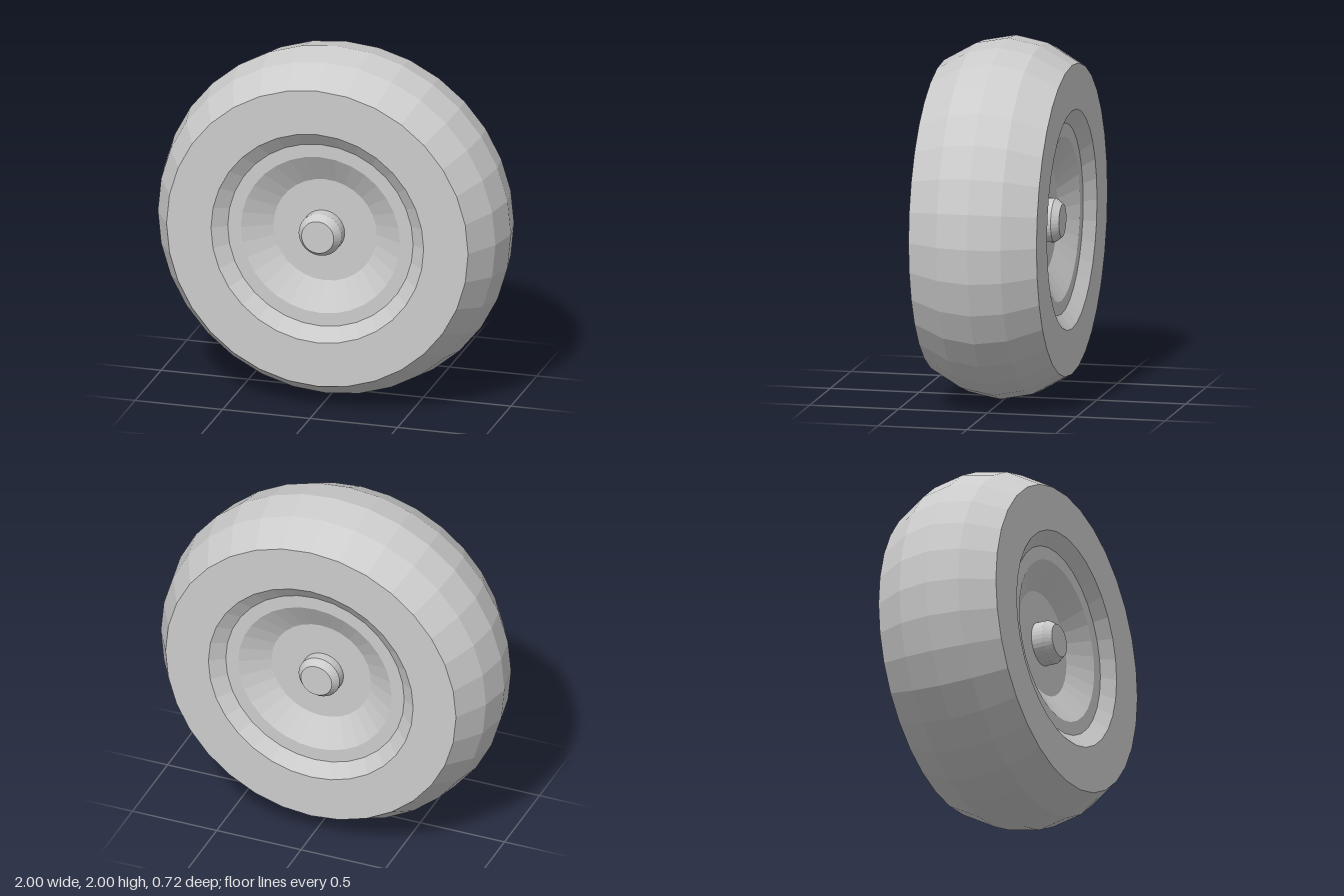
import * as THREE from 'three';

const SIDES = 32;
const material = new THREE.MeshStandardMaterial({ color: 0xcccccc, flatShading: true });

// Turns a [radius, z] profile, listed from back to front, about the z axis.
function turned(name, profile) {
  const points = profile.map(([r, z]) => new THREE.Vector2(r, z));
  const geometry = new THREE.LatheGeometry(points, SIDES);
  geometry.rotateX(Math.PI / 2);
  const mesh = new THREE.Mesh(geometry, material);
  mesh.name = name;
  return mesh;
}

const mirrored = (half) => half.map(([r, z]) => [r, -z]).reverse();

export function createModel() {
  const model = new THREE.Group();
  model.name = 'wheel';

  const wheel = new THREE.Group();
  wheel.name = 'wheelBody';
  wheel.position.y = 1;
  model.add(wheel);

  // Tyre: faceted tread, flat sidewalls and a sloped inner lip
  const tyreFront = [[0.965, 0.18], [0.862, 0.36], [0.608, 0.36], [0.53, 0.3]];
  wheel.add(turned('tyre', [...mirrored(tyreFront), [1, 0], ...tyreFront]));

  // Rim on each side: flat ring, dished cone and flat centre
  const rimFront = [[0.53, 0.3], [0.455, 0.3], [0.295, 0.21], [0, 0.21]];
  wheel.add(turned('rimFront', rimFront));
  wheel.add(turned('rimBack', mirrored(rimFront)));

  // Axle running through the wheel, with chamfered ends, slightly off centre
  const axle = turned('axle', [
    [0, -0.305], [0.092, -0.305], [0.122, -0.265],
    [0.122, 0.275], [0.092, 0.32], [0, 0.32],
  ]);
  axle.position.set(-0.01, -0.008, 0);
  wheel.add(axle);

  return model;
}
